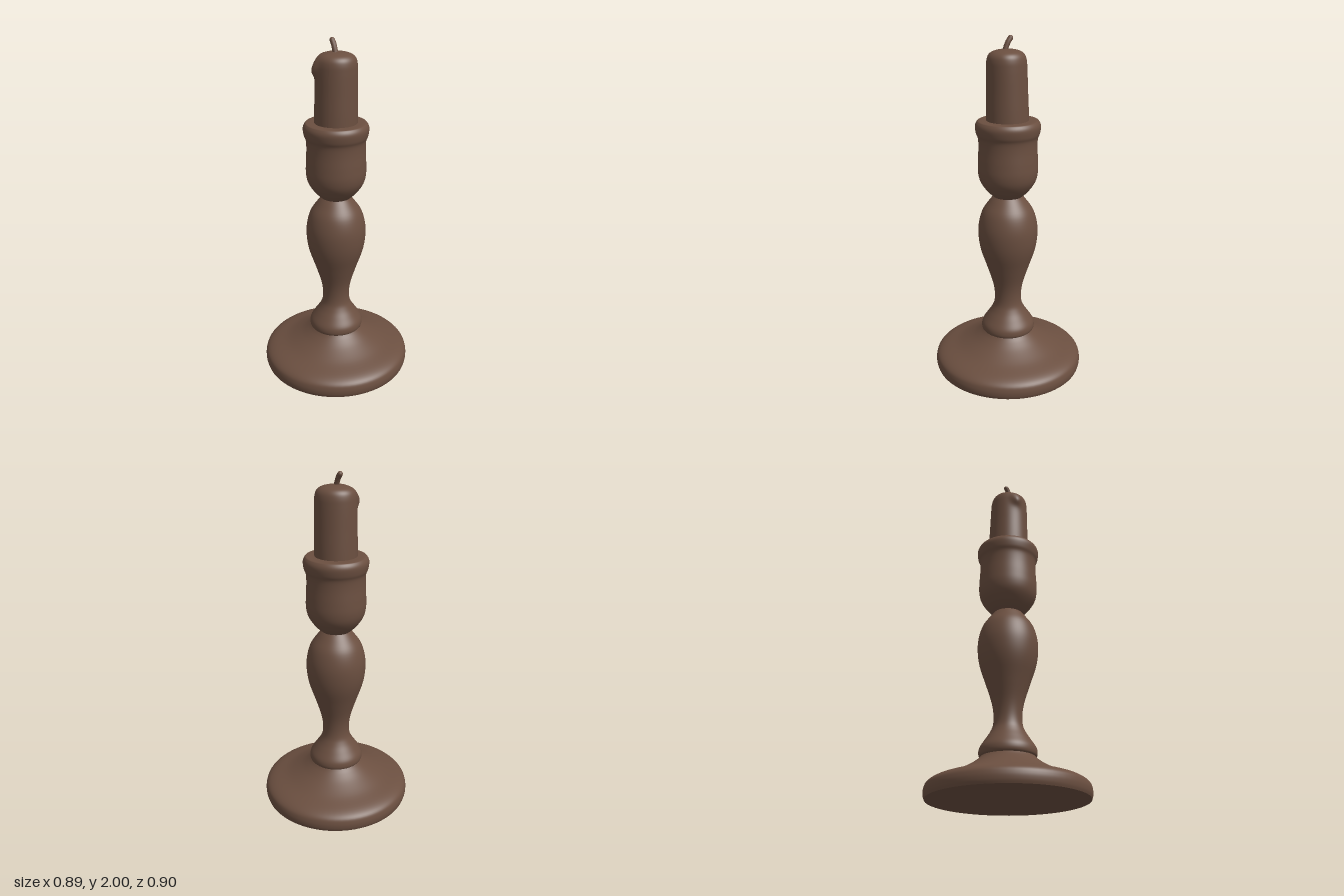
import * as THREE from 'three';

// Smooth profile through [radius, height] points
function turned(name, points, material) {
  const curve = new THREE.SplineCurve(points.map(([r, y]) => new THREE.Vector2(r, y)));
  const profile = curve.getPoints(points.length * 4);
  profile.forEach((p) => { p.x = Math.max(p.x, 0); });
  const mesh = new THREE.Mesh(new THREE.LatheGeometry(profile, 72), material);
  mesh.name = name;
  return mesh;
}

export function createModel() {
  const model = new THREE.Group();
  model.name = 'candlestick';
  const brown = new THREE.MeshStandardMaterial({ color: 0x6b4f40, side: THREE.DoubleSide });
  brown.name = 'warm brown';

  // Wide dished foot
  const foot = turned('foot', [
    [0.436, 0], [0.442, 0.02], [0.442, 0.05], [0.43, 0.08], [0.39, 0.105], [0.30, 0.135],
    [0.22, 0.175], [0.17, 0.21], [0.148, 0.232],
  ], brown);
  foot.scale.z = 1.012;
  model.add(foot);

  const underside = new THREE.Mesh(new THREE.CircleGeometry(0.436, 72), brown);
  underside.name = 'footUnderside';
  underside.rotation.x = Math.PI / 2;
  underside.scale.y = 1.012;
  model.add(underside);

  // Collar running up into the baluster stem
  model.add(turned('stem', [
    [0.148, 0.23], [0.158, 0.238], [0.161, 0.258], [0.154, 0.285], [0.128, 0.325], [0.10, 0.368],
    [0.083, 0.41], [0.08, 0.47], [0.092, 0.545], [0.125, 0.65], [0.16, 0.755], [0.174, 0.84],
    [0.172, 0.92], [0.15, 1.0], [0.11, 1.06], [0.082, 1.095],
  ], brown));

  // Cup with a rolled lip
  model.add(turned('cup', [
    [0.082, 1.09], [0.12, 1.125], [0.158, 1.18], [0.172, 1.235], [0.172, 1.3], [0.168, 1.38],
    [0.17, 1.435], [0.181, 1.465], [0.186, 1.505], [0.176, 1.53], [0.158, 1.538], [0.08, 1.538],
  ], brown));

  // Candle, softened at the top, with a drip on the front left edge
  const candle = turned('candle', [
    [0.122, 1.5], [0.121, 1.6], [0.119, 1.7], [0.118, 1.78], [0.117, 1.83], [0.115, 1.865],
    [0.107, 1.893], [0.088, 1.912], [0.055, 1.923], [0.025, 1.927], [0, 1.928],
  ], brown);
  const pos = candle.geometry.attributes.position;
  for (let i = 0; i < pos.count; i++) {
    let x = pos.getX(i), y = pos.getY(i), z = pos.getZ(i);
    const rim = Math.min(1, Math.hypot(x, z) / 0.11);
    const dripAngle = Math.atan2(z, x) - 2.5;
    const turn = Math.atan2(Math.sin(dripAngle), Math.cos(dripAngle));
    const drip = Math.exp(-((turn / 0.27) ** 2) - ((y - 1.855) / 0.05) ** 2) * rim;
    const lean = (y - 1.5) / 0.43;
    const back = Math.max(0, -z) / 0.12;
    x *= 1 + 0.2 * drip;
    z *= 1 + 0.2 * drip;
    x += 0.004 * lean;
    z += 0.012 * lean * back + 0.002;
    y -= 0.02 * drip;
    pos.setXYZ(i, x, y, z);
  }
  candle.geometry.computeVertexNormals();
  model.add(candle);

  // Bent wick with a rounded tip
  const path = new THREE.CatmullRomCurve3([
    new THREE.Vector3(0.004, 1.915, 0.016),
    new THREE.Vector3(-0.004, 1.943, 0.01),
    new THREE.Vector3(-0.012, 1.965, 0.003),
    new THREE.Vector3(-0.024, 1.985, -0.006),
  ]);
  const wick = new THREE.Mesh(new THREE.TubeGeometry(path, 12, 0.015, 12), brown);
  wick.name = 'wick';
  const tip = new THREE.Mesh(new THREE.SphereGeometry(0.015, 12, 8), brown);
  tip.name = 'wickTip';
  tip.position.copy(path.getPoint(1));
  model.add(wick, tip);

  return model;
}
